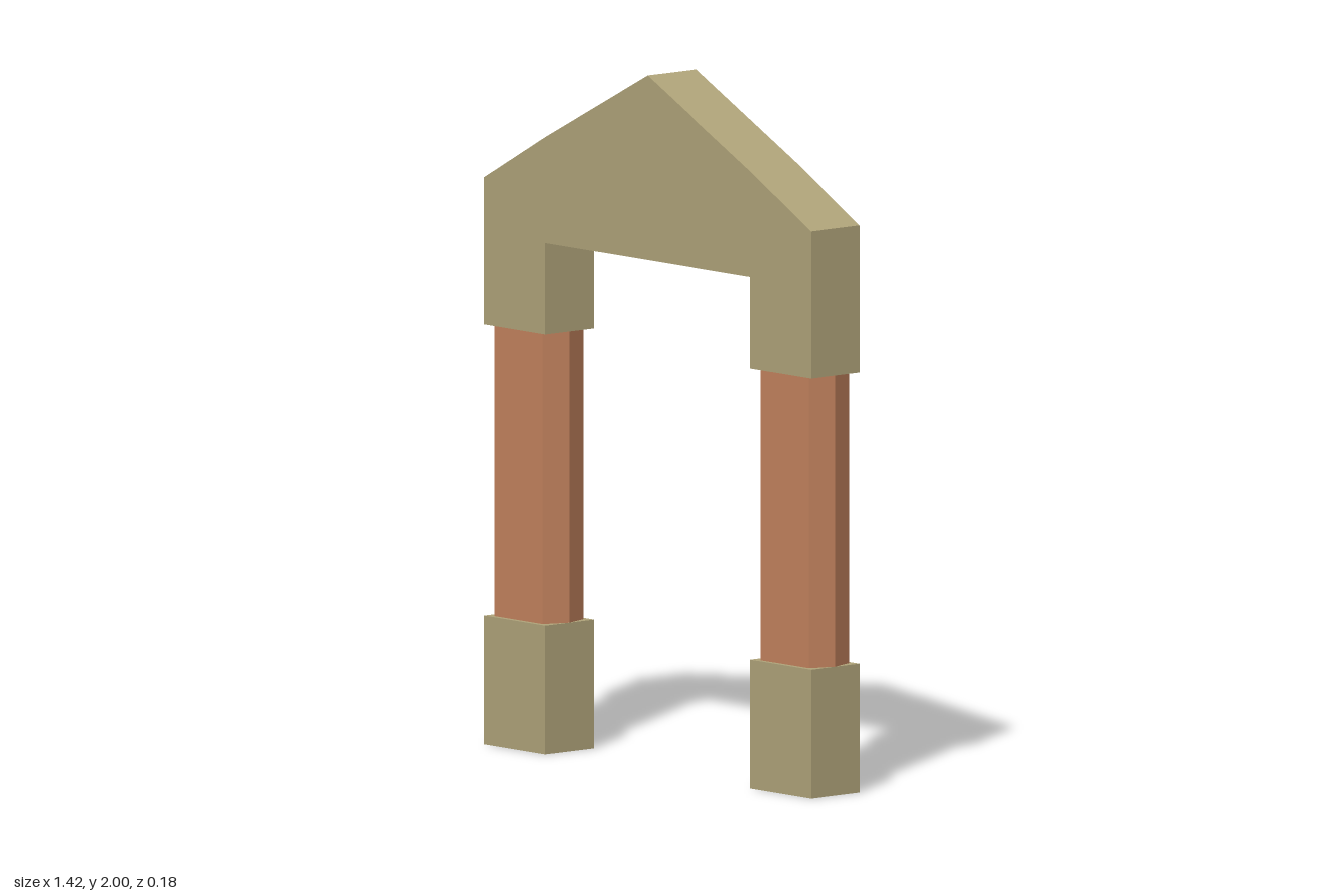
import * as THREE from 'three';

const stone = new THREE.MeshStandardMaterial({ color: 0xb0a47a, flatShading: true });
stone.name = 'sandstone';
const clay = new THREE.MeshStandardMaterial({ color: 0xc4835e, flatShading: true });
clay.name = 'terracotta';

const OUTER = 0.71, INNER = 0.445, DEPTH = 0.184;
const BASE_TOP = 0.37, SHAFT_TOP = 1.207;

// Extrude a closed outline, centred along its depth
function prism(name, points, depth, material) {
  const shape = new THREE.Shape(points.map(([x, y]) => new THREE.Vector2(x, y)));
  const geometry = new THREE.ExtrudeGeometry(shape, { depth, bevelEnabled: false });
  geometry.translate(0, 0, -depth / 2);
  const mesh = new THREE.Mesh(geometry, material);
  mesh.name = name;
  return mesh;
}

export function createModel() {
  const model = new THREE.Group();
  model.name = 'archway';

  // Gabled lintel with a short leg over each column
  const half = [
    [INNER, 1.47], [INNER, SHAFT_TOP], [OUTER, SHAFT_TOP], [OUTER, 1.63], [INNER, 1.774],
  ];
  const mirrored = half.map(([x, y]) => [-x, y]).reverse();
  model.add(prism('gabledLintel', [...half, [0, 2], ...mirrored], DEPTH, stone));

  const width = OUTER - INNER, centre = (OUTER + INNER) / 2;
  for (const [side, sign] of [['left', 1], ['right', -1]]) {
    // Square footing block
    const footing = new THREE.Mesh(new THREE.BoxGeometry(width, BASE_TOP, DEPTH), stone);
    footing.name = side + 'Footing';
    footing.position.set(sign * centre, BASE_TOP / 2, 0);

    // Six-sided shaft with pointed edges along x
    const tip = width / 2, flat = tip - 0.028, z = 0.077;
    const outline = [[tip, 0], [flat, z], [-flat, z], [-tip, 0], [-flat, -z], [flat, -z]];
    const shaft = prism(side + 'Shaft', outline, SHAFT_TOP - BASE_TOP, clay);
    shaft.rotation.x = -Math.PI / 2;
    shaft.position.set(sign * centre, (SHAFT_TOP + BASE_TOP) / 2, 0);

    model.add(footing, shaft);
  }
  return model;
}
